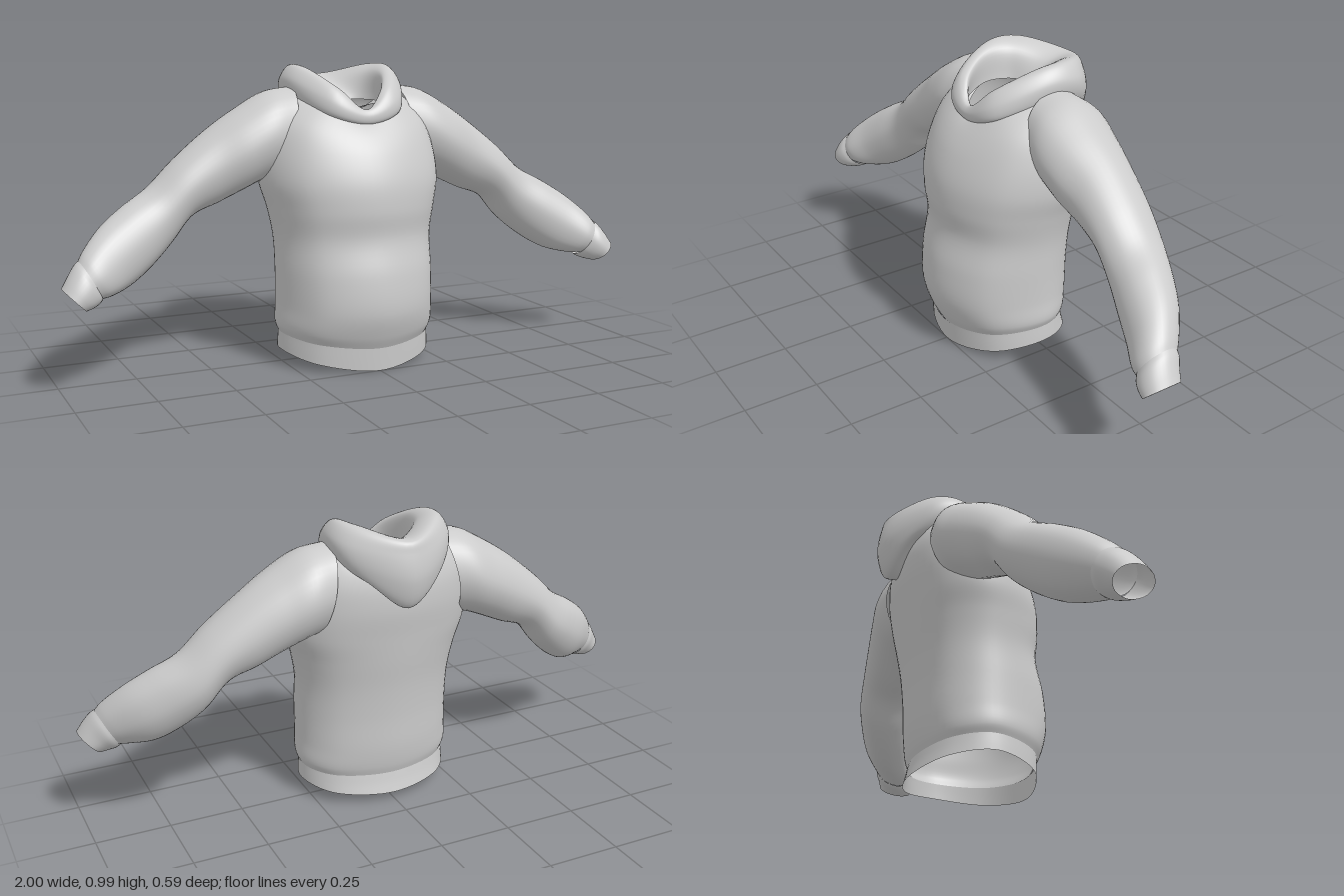
import * as THREE from 'three';

const material = new THREE.MeshStandardMaterial({ color: 0xcccccc, side: THREE.DoubleSide });
const V = (x, y, z) => new THREE.Vector3(x, y, z);

// Smooth skin through closed rings of control points (each ring has the same count)
function skin(name, rings, around = 48, along = 40) {
  const columns = [];
  const loops = rings.map(r => new THREE.CatmullRomCurve3(r, true, 'catmullrom', 0.5));
  for (let i = 0; i < around; i++) {
    const column = loops.map(l => l.getPoint(i / around));
    columns.push(new THREE.CatmullRomCurve3(column, false, 'centripetal'));
  }
  const pos = [], index = [];
  for (let j = 0; j <= along; j++) {
    for (let i = 0; i < around; i++) pos.push(...columns[i].getPoint(j / along).toArray());
  }
  for (let j = 0; j < along; j++) {
    for (let i = 0; i < around; i++) {
      const k = (i + 1) % around;
      const a = j * around + i, b = j * around + k, c = a + around, d = b + around;
      index.push(a, b, d, a, d, c);
    }
  }
  const geo = new THREE.BufferGeometry();
  geo.setAttribute('position', new THREE.Float32BufferAttribute(pos, 3));
  geo.setIndex(index);
  geo.computeVertexNormals();
  const mesh = new THREE.Mesh(geo, material);
  mesh.name = name;
  return mesh;
}

// Mirror a half ring [front ... side ... back] into a full ring
function mirrorRing(half) {
  const right = half.map(p => V(...p));
  const left = half.slice(1, -1).reverse().map(p => V(-p[0], p[1], p[2]));
  return [...right, ...left];
}

// Body ring: half width, front z/y, side z/y, back z/y
function bodyRing([w, zf, yf, zs, ys, zb, yb]) {
  const k = 0.72, m = 0.5;
  return mirrorRing([
    [0, yf, zf],
    [w * k, yf + (ys - yf) * m, zs + (zf - zs) * k],
    [w, ys, zs],
    [w * k, yb + (ys - yb) * m, zs + (zb - zs) * k],
    [0, yb, zb],
  ]);
}

// Sleeve ring: upper x/y, lower x/y, centre z, half depth
function sleeveRing([ux, uy, lx, ly, zc, hz], side) {
  const ring = [];
  for (let i = 0; i < 8; i++) {
    const t = i * Math.PI / 4, c = Math.cos(t) / 2;
    ring.push(V(
      side * ((ux + lx) / 2 + (ux - lx) * c),
      (uy + ly) / 2 + (uy - ly) * c,
      zc + side * hz * Math.sin(t)));
  }
  return ring;
}

export function createModel() {
  const group = new THREE.Group();

  // Torso, from the hem seam to the neck
  const body = [
    [0.262, 0.25, 0.075, 0.03, 0.108, -0.145, 0.095],
    [0.275, 0.272, 0.12, 0.03, 0.14, -0.155, 0.13],
    [0.272, 0.295, 0.2, 0.03, 0.21, -0.165, 0.2],
    [0.272, 0.288, 0.32, 0.03, 0.32, -0.17, 0.32],
    [0.275, 0.261, 0.44, 0.02, 0.43, -0.18, 0.43],
    [0.293, 0.268, 0.53, 0.01, 0.53, -0.195, 0.53],
    [0.315, 0.26, 0.62, -0.01, 0.62, -0.207, 0.62],
    [0.31, 0.228, 0.71, -0.03, 0.73, -0.22, 0.72],
    [0.28, 0.195, 0.765, -0.05, 0.83, -0.215, 0.8],
    [0.21, 0.165, 0.8, -0.06, 0.9, -0.19, 0.87],
    [0.13, 0.14, 0.82, -0.04, 0.93, -0.13, 0.9],
  ];
  group.add(skin('torso', body.map(bodyRing), 64, 60));

  // Waistband with a dipping lower edge
  const hem = [
    [0.267, 0.25, 0.003, 0.03, 0.055, -0.165, 0.03],
    [0.266, 0.252, 0.04, 0.03, 0.08, -0.155, 0.065],
    [0.264, 0.254, 0.08, 0.03, 0.112, -0.147, 0.1],
  ];
  group.add(skin('waistband', hem.map(bodyRing), 64, 8));

  // Sleeves and cuffs
  const sleeve = [
    [0.19, 0.925, 0.25, 0.63, -0.055, 0.13],
    [0.28, 0.912, 0.31, 0.615, -0.055, 0.145],
    [0.38, 0.86, 0.37, 0.59, -0.05, 0.138],
    [0.48, 0.795, 0.46, 0.55, -0.05, 0.12],
    [0.6, 0.7, 0.55, 0.515, -0.04, 0.11],
    [0.69, 0.617, 0.625, 0.43, -0.03, 0.105],
    [0.78, 0.565, 0.7, 0.365, 0, 0.1],
    [0.86, 0.51, 0.775, 0.32, 0.035, 0.092],
    [0.925, 0.445, 0.845, 0.303, 0.08, 0.08],
    [0.945, 0.415, 0.88, 0.3, 0.095, 0.068],
  ];
  const cuff = [
    [0.942, 0.422, 0.874, 0.297, 0.093, 0.07],
    [0.956, 0.41, 0.885, 0.288, 0.1, 0.074],
    [0.978, 0.38, 0.905, 0.28, 0.112, 0.07],
    [1, 0.345, 0.93, 0.274, 0.12, 0.064],
  ];
  for (const [label, side] of [['left', 1], ['right', -1]]) {
    group.add(skin(label + 'Sleeve', sleeve.map(r => sleeveRing(r, side)), 40, 50));
    group.add(skin(label + 'Cuff', cuff.map(r => sleeveRing(r, side)), 40, 10));
  }

  // Folded-down hood: from the outer tuck, over the roll, into the neck opening
  const hood = [
    [[0, 0.79, 0.12], [0.1, 0.82, 0.08], [0.16, 0.86, -0.05], [0.1, 0.83, -0.185], [0, 0.735, -0.21]],
    [[0, 0.8, 0.145], [0.12, 0.83, 0.105], [0.185, 0.87, -0.05], [0.13, 0.83, -0.205], [0, 0.738, -0.258]],
    [[0, 0.812, 0.16], [0.13, 0.845, 0.125], [0.2, 0.905, -0.04], [0.165, 0.88, -0.195], [0, 0.83, -0.29]],
    [[0, 0.835, 0.162], [0.122, 0.885, 0.13], [0.198, 0.95, -0.03], [0.175, 0.945, -0.175], [0, 0.92, -0.28]],
    [[0, 0.853, 0.15], [0.1, 0.925, 0.11], [0.165, 0.988, -0.03], [0.145, 0.993, -0.155], [0, 0.957, -0.265]],
    [[0, 0.85, 0.135], [0.072, 0.915, 0.1], [0.118, 0.965, 0], [0.1, 0.97, -0.1], [0, 0.94, -0.17]],
    [[0, 0.82, 0.125], [0.08, 0.84, 0.1], [0.11, 0.87, 0.01], [0.08, 0.875, -0.075], [0, 0.875, -0.1]],
  ];
  group.add(skin('hood', hood.map(mirrorRing), 64, 48));

  return group;
}
